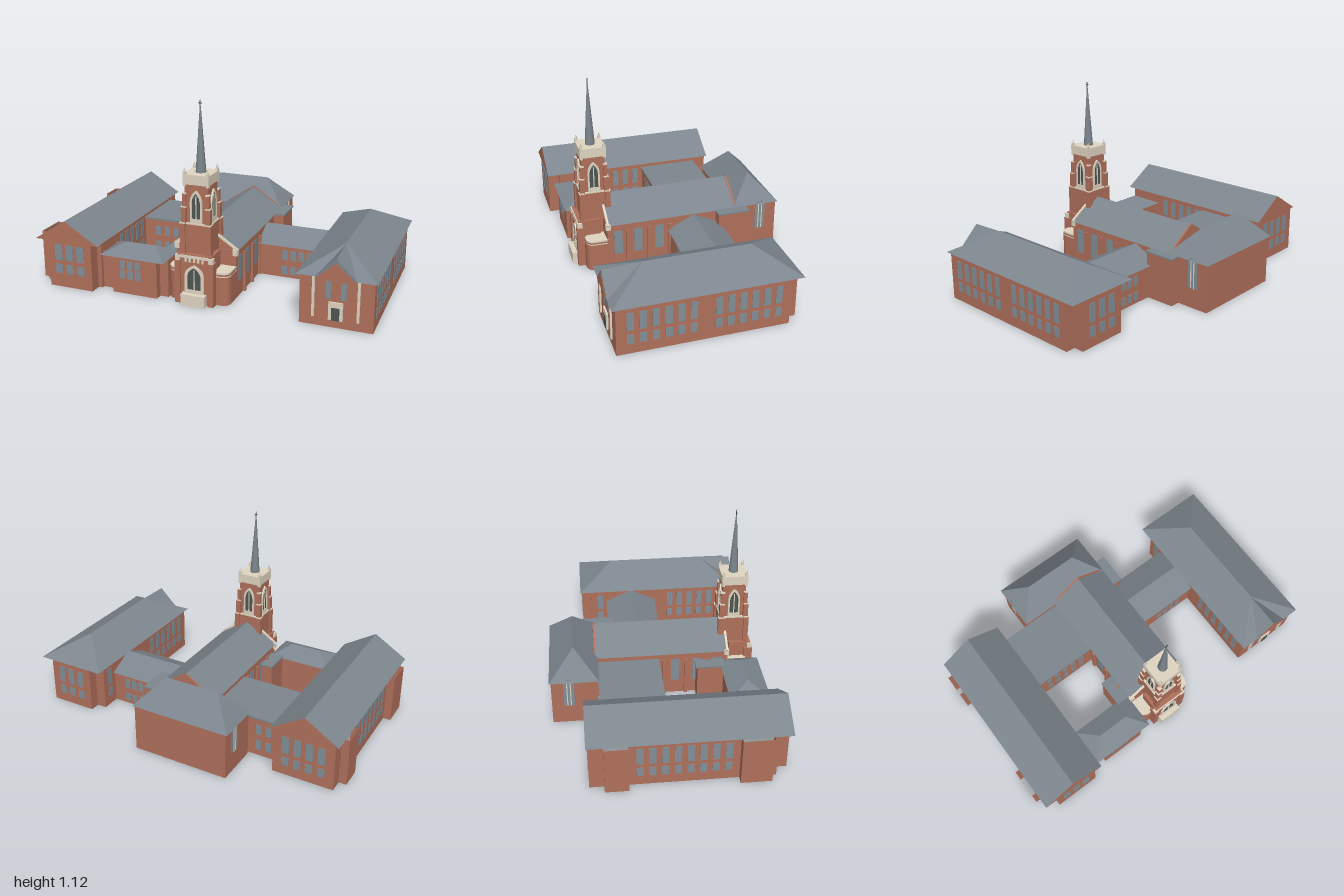
import * as THREE from 'three';

const mat = (name, color) => {
  const m = new THREE.MeshStandardMaterial({ color });
  m.name = name;
  return m;
};

export function createModel() {
  const brick = mat('brick', 0xb0705b), slate = mat('slate', 0x7d868e), stone = mat('stone', 0xe0d5c2);
  const glass = mat('glass', 0x828f98), dark = mat('darkGlass', 0x4d5653);
  brick.side = THREE.DoubleSide; // the outer walls are open shells
  const root = new THREE.Group();
  let parent = root;

  const section = (name) => {
    parent = new THREE.Group();
    parent.name = name;
    root.add(parent);
    return parent;
  };
  const add = (name, geo, material) => {
    const m = new THREE.Mesh(geo, material);
    m.name = name;
    parent.add(m);
    return m;
  };
  const solid = (pos) => {
    const g = new THREE.BufferGeometry();
    g.setAttribute('position', new THREE.Float32BufferAttribute(pos, 3));
    g.computeVertexNormals();
    return g;
  };
  // Box given by its limits on each axis
  const box = (name, x0, x1, y0, y1, z0, z1, material = brick) => {
    const m = add(name, new THREE.BoxGeometry(x1 - x0, y1 - y0, z1 - z0), material);
    m.position.set((x0 + x1) / 2, (y0 + y1) / 2, (z0 + z1) / 2);
    return m;
  };
  // Upright walls around a footprint of [x, z] corners, open above and below
  const walls = (name, h, pts) => {
    const pos = [];
    pts.forEach(([x, z], i) => {
      const [u, w] = pts[(i + 1) % pts.length];
      pos.push(x, 0, z, u, 0, w, u, h, w, x, 0, z, u, h, w, x, h, z);
    });
    add(name, solid(pos), brick);
  };
  const rect = (x0, x1, z0, z1) => [[x0, z1], [x1, z1], [x1, z0], [x0, z0]];
  // Roof over a rectangle with a ridge from r0 to r1; ends and underside take endMat
  const roof = (name, x0, x1, z0, z1, y, r0, r1, alongX, endMat = slate) => {
    const a = [x0, y, z0], b = [x1, y, z0], c = [x1, y, z1], d = [x0, y, z1];
    const slopes = alongX ? [[b, a, r0, r1], [d, c, r1, r0]] : [[c, b, r0, r1], [a, d, r1, r0]];
    const ends = alongX ? [[c, b, r1], [a, d, r0]] : [[b, a, r0], [d, c, r1]];
    const pos = [];
    const fan = (f) => {
      for (let i = 1; i < f.length - 1; i++) pos.push(...f[0], ...f[i], ...f[i + 1]);
    };
    slopes.forEach(fan);
    const split = pos.length / 3;
    [...ends, [a, b, c, d]].forEach(fan);
    const g = solid(pos);
    g.addGroup(0, split, 0);
    g.addGroup(split, pos.length / 3 - split, 1);
    add(name, g, [slate, endMat]);
  };
  // Window panes on a wall facing x or z, at plane p
  const panes = (axis, p, centres, rows, w) => {
    for (const c of centres) for (const [y0, y1] of rows) {
      if (axis === 'x') box('window', p - 0.003, p + 0.003, y0, y1, c - w / 2, c + w / 2, glass);
      else box('window', c - w / 2, c + w / 2, y0, y1, p - 0.003, p + 0.003, glass);
    }
  };
  const series = (n, start, step) => Array.from({ length: n }, (_, i) => start + i * step);
  const plate = (name, shape, depth, material) =>
    add(name, new THREE.ExtrudeGeometry(shape, { depth, bevelEnabled: false, curveSegments: 6 }), material);
  // Upright triangle facing z
  const triangle = (name, x, half, y, peak, z, depth) => {
    const s = new THREE.Shape([new THREE.Vector2(x - half, y), new THREE.Vector2(x + half, y), new THREE.Vector2(x, peak)]);
    plate(name, s, depth, brick).position.z = z;
  };
  // Pointed arch outline
  const arch = (w, h, T = THREE.Shape, y = 0) => {
    const s = new T();
    s.moveTo(-w, y);
    s.lineTo(w, y);
    s.lineTo(w, h * 0.6);
    s.quadraticCurveTo(w, h * 0.85, 0, h);
    s.quadraticCurveTo(-w, h * 0.85, -w, h * 0.6);
    s.closePath();
    return s;
  };
  // Framed tracery window facing +z in its own group
  const archWindow = (w, h, x, y, z, angle) => {
    const outer = parent, g = new THREE.Group();
    g.name = 'archedWindow';
    outer.add(g);
    parent = g;
    plate('archGlass', arch(w, h), 0.004, dark);
    const frame = arch(w * 1.4, h * 1.1, THREE.Shape, -0.01);
    frame.holes.push(arch(w, h, THREE.Path));
    plate('archFrame', frame, 0.009, stone);
    box('mullion', -0.003, 0.003, 0, h * 0.9, 0, 0.008, stone);
    box('sill', -w * 1.3, w * 1.3, -0.008, h * 0.1, 0, 0.0085, stone);
    g.position.set(x, y, z);
    g.rotation.y = angle;
    parent = outer;
  };
  const twoRows = [[0.06, 0.115], [0.14, 0.245]];

  // Left gabled wing with side piers and a projecting front bay
  section('leftWing');
  walls('leftWingWalls', 0.284, [[-0.95, 0.56], [-0.89, 0.56], [-0.89, 0.63], [-0.615, 0.63], [-0.615, 0.56],
    [-0.59, 0.56], [-0.59, -0.44], [-0.95, -0.44], [-0.95, -0.36], [-0.995, -0.36], [-0.995, -0.23], [-0.95, -0.23],
    [-0.95, 0.36], [-0.995, 0.36], [-0.995, 0.53], [-0.95, 0.53]]);
  roof('leftWingRoof', -0.97, -0.57, -0.45, 0.636, 0.28, [-0.77, 0.404, -0.45], [-0.77, 0.404, 0.636], false, brick);
  panes('z', 0.63, series(3, -0.825, 0.07), [[0.085, 0.14], [0.165, 0.26]], 0.048);
  panes('z', -0.44, series(4, -0.875, 0.07), twoRows, 0.042);
  panes('x', -0.95, series(8, -0.17, 0.067), twoRows, 0.037);
  panes('x', -0.59, series(5, 0.05, 0.067), twoRows, 0.037);

  // Right hipped wing with a pediment over the side door
  section('rightWing');
  walls('rightWingWalls', 0.283, [[0.59, 0.57], [0.985, 0.57], [0.985, -0.37], [0.93, -0.37], [0.93, -0.43],
    [0.65, -0.43], [0.65, -0.37], [0.59, -0.37]]);
  roof('rightWingRoof', 0.57, 1, -0.44, 0.59, 0.28, [0.785, 0.4, -0.22], [0.785, 0.4, 0.375], false);
  roof('pedimentRoof', 0.675, 0.895, 0.36, 0.59, 0.281, [0.785, 0.399, 0.37], [0.785, 0.39, 0.59], false);
  triangle('pediment', 0.785, 0.096, 0.281, 0.368, 0.588, 0.005);
  for (const x of [0.665, 0.905]) box('pilaster', x - 0.007, x + 0.007, 0.05, 0.282, 0.565, 0.58, stone);
  panes('x', 0.985, [...series(6, 0.495, -0.067), ...series(6, 0.025, -0.066)], twoRows, 0.037);
  panes('x', 0.59, [...series(6, 0.495, -0.067), -0.31], twoRows, 0.037);
  panes('z', -0.43, series(3, 0.72, 0.07), twoRows, 0.042);
  panes('z', 0.57, [0.745, 0.825], [[0.16, 0.255]], 0.03);
  box('sideDoorSurround', 0.748, 0.825, 0.045, 0.145, 0.565, 0.58, stone);
  box('sideDoor', 0.765, 0.808, 0.045, 0.115, 0.579, 0.583, dark);

  // Right link with a gabled roof
  section('rightLink');
  walls('rightLinkWalls', 0.2, rect(0.18, 0.6, -0.255, 0.04));
  roof('rightLinkRoof', 0.18, 0.6, -0.27, 0.055, 0.197, [0.18, 0.275, -0.105], [0.6, 0.275, -0.105], true);
  for (const z of [-0.255, 0.04]) panes('z', z, series(4, 0.345, 0.05), [[0.02, 0.07], [0.11, 0.17]], 0.035);
  walls('annexWalls', 0.279, rect(0.17, 0.24, -0.43, -0.245));
  box('annexRoof', 0.17, 0.248, 0.278, 0.286, -0.435, -0.24, slate);

  // Left links around the courtyard
  section('leftLinks');
  walls('backLinkWalls', 0.241, rect(-0.6, -0.18, -0.35, 0));
  box('backLinkRoof', -0.6, -0.18, 0.24, 0.25, -0.36, 0.008, slate);
  panes('z', 0, series(5, -0.5, 0.06), [[0.04, 0.1], [0.14, 0.2]], 0.035);
  panes('z', -0.35, series(2, -0.52, 0.06), [[0.04, 0.1], [0.14, 0.2]], 0.035);
  walls('frontLinkWalls', 0.222, [[-0.59, 0.54], [-0.505, 0.54], [-0.505, 0.585], [-0.23, 0.585], [-0.23, 0.54],
    [-0.18, 0.54], [-0.18, 0.385], [-0.59, 0.385]]);
  roof('frontLinkRoof', -0.575, -0.18, 0.37, 0.6, 0.22, [-0.465, 0.275, 0.485], [-0.275, 0.275, 0.485], true);
  panes('z', 0.585, series(3, -0.44, 0.047), [[0.09, 0.14], [0.15, 0.2]], 0.035);
  walls('cornerBlock', 0.221, rect(-0.255, -0.18, 0.23, 0.39));
  box('cornerBlockRoof', -0.26, -0.18, 0.22, 0.23, 0.22, 0.39, slate);

  // Nave with gabled roof, coping and side buttresses
  section('nave');
  walls('naveWalls', 0.286, rect(-0.18, 0.18, -0.37, 0.42));
  roof('naveRoof', -0.19, 0.19, -0.365, 0.41, 0.283, [0, 0.408, -0.365], [0, 0.408, 0.41], false, brick);
  triangle('backGable', 0, 0.19, 0.285, 0.413, -0.375, 0.011);
  for (const s of [-1, 1]) {
    const cope = box('gableCoping', -0.112, 0.112, -0.006, 0.006, 0.41, 0.423, stone);
    cope.position.set(s * 0.097, 0.347, 0.416);
    cope.rotation.z = -s * 0.583;
    box('copingFoot', s * 0.175 - 0.014, s * 0.175 + 0.014, 0.255, 0.29, 0.4, 0.428, stone);
    for (const z of [-0.09, 0.04, 0.17, 0.3]) box('naveButtress', s * 0.186 - 0.008, s * 0.186 + 0.008, 0, 0.24, z - 0.01, z + 0.01);
    panes('x', s * 0.18, [0.105, 0.235, 0.355], [[0.09, 0.24]], 0.05);
  }

  // Hipped chapel block at the back
  section('chapel');
  walls('chapelWalls', 0.287, rect(-0.4, 0.18, -0.63, -0.365));
  roof('chapelRoof', -0.415, 0.19, -0.64, -0.355, 0.285, [-0.28, 0.437, -0.495], [0.05, 0.437, -0.495], true);
  for (const s of [-1, 1]) {
    const x = s > 0 ? 0.18 : -0.4;
    panes('x', x, [-0.53], [[0.12, 0.28]], 0.062);
    for (const dz of [-0.01, 0.01]) box('chapelMullion', x - 0.006, x + 0.006, 0.12, 0.28, -0.533 + dz, -0.527 + dz, stone);
    const hood = add('chapelArch', new THREE.TorusGeometry(0.014, 0.003, 4, 10, Math.PI), glass);
    hood.position.set(x + s * 0.004, 0.288, -0.53);
    hood.rotation.y = Math.PI / 2;
  }

  // Bell tower, built about its own axis
  section('tower').position.set(-0.006, 0, 0.463);
  const stage = (name, r, y0, y1, m = brick) => box(name, -r, r, y0, y1, -r, r, m);
  stage('towerBase', 0.08, 0, 0.455);
  stage('belfry', 0.068, 0.455, 0.68);
  stage('stringCourse', 0.082, 0.452, 0.459, stone);
  stage('crown', 0.076, 0.675, 0.73, stone);
  for (const sx of [-1, 1]) for (const sz of [-1, 1]) {
    // Stepped corner buttresses, each with a stone weathering
    for (const [r, w, y0, y1] of [[0.076, 0.015, 0, 0.455], [0.071, 0.014, 0.455, 0.545], [0.068, 0.011, 0.545, 0.62]]) {
      const x = sx * r, z = sz * r;
      box('cornerButtress', x - w, x + w, y0, y1, z - w, z + w);
      box('buttressCap', x - w - 0.001, x + w + 0.001, y1, y1 + 0.006, z - w - 0.001, z + w + 0.001, stone);
    }
    const px = sx * 0.067, pz = sz * 0.067;
    box('pinnacleBase', px - 0.008, px + 0.008, 0.665, 0.742, pz - 0.008, pz + 0.008, stone);
    add('pinnacle', new THREE.ConeGeometry(0.009, 0.026, 4), stone).position.set(px, 0.754, pz);
  }
  for (let i = 0; i < 4; i++) {
    const a = i * Math.PI / 2;
    archWindow(0.025, 0.16, Math.sin(a) * 0.068, 0.468, Math.cos(a) * 0.068, a);
  }
  add('spire', new THREE.CylinderGeometry(0.003, 0.029, 0.36, 12), slate).position.y = 0.91;
  box('crossPost', -0.002, 0.002, 1.08, 1.123, -0.002, 0.002, dark);
  box('crossArm', -0.009, 0.009, 1.104, 1.109, -0.002, 0.002, dark);

  // Entrance porch, steps and low rounded side bays
  section('entrance').position.x = -0.006;
  box('porch', -0.1, 0.1, 0, 0.287, 0.44, 0.57);
  for (const s of [-1, 1]) {
    box('porchButtress', s * 0.098 - 0.016, s * 0.098 + 0.016, 0, 0.25, 0.53, 0.582);
    box('porchButtressCap', s * 0.098 - 0.014, s * 0.098 + 0.014, 0.25, 0.28, 0.55, 0.578, stone);
  }
  box('porchCornice', -0.084, 0.084, 0.268, 0.283, 0.565, 0.576, stone);
  for (const x of series(5, -0.05, 0.025)) box('corniceBlock', x - 0.006, x + 0.006, 0.245, 0.27, 0.565, 0.575, stone);
  archWindow(0.04, 0.145, 0, 0.07, 0.57, 0);
  box('entranceSteps', -0.07, 0.07, 0, 0.065, 0.56, 0.608, stone);
  for (const s of [-1, 1]) {
    const bay = new THREE.Shape();
    bay.moveTo(s * 0.08, -0.41);
    bay.lineTo(s * 0.18, -0.41);
    bay.lineTo(s * 0.18, -0.49);
    bay.quadraticCurveTo(s * 0.18, -0.54, s * 0.13, -0.54);
    bay.lineTo(s * 0.08, -0.54);
    bay.closePath();
    for (const [name, y, h, m] of [['roundedBay', 0, 0.165, brick], ['bayBand', 0.165, 0.007, stone],
      ['bayParapet', 0.172, 0.01, brick], ['bayCoping', 0.182, 0.01, stone]]) {
      const p = plate(name, bay, h, m);
      p.rotation.x = -Math.PI / 2;
      p.position.set(0.006, y, 0);
    }
  }
  return root;
}
